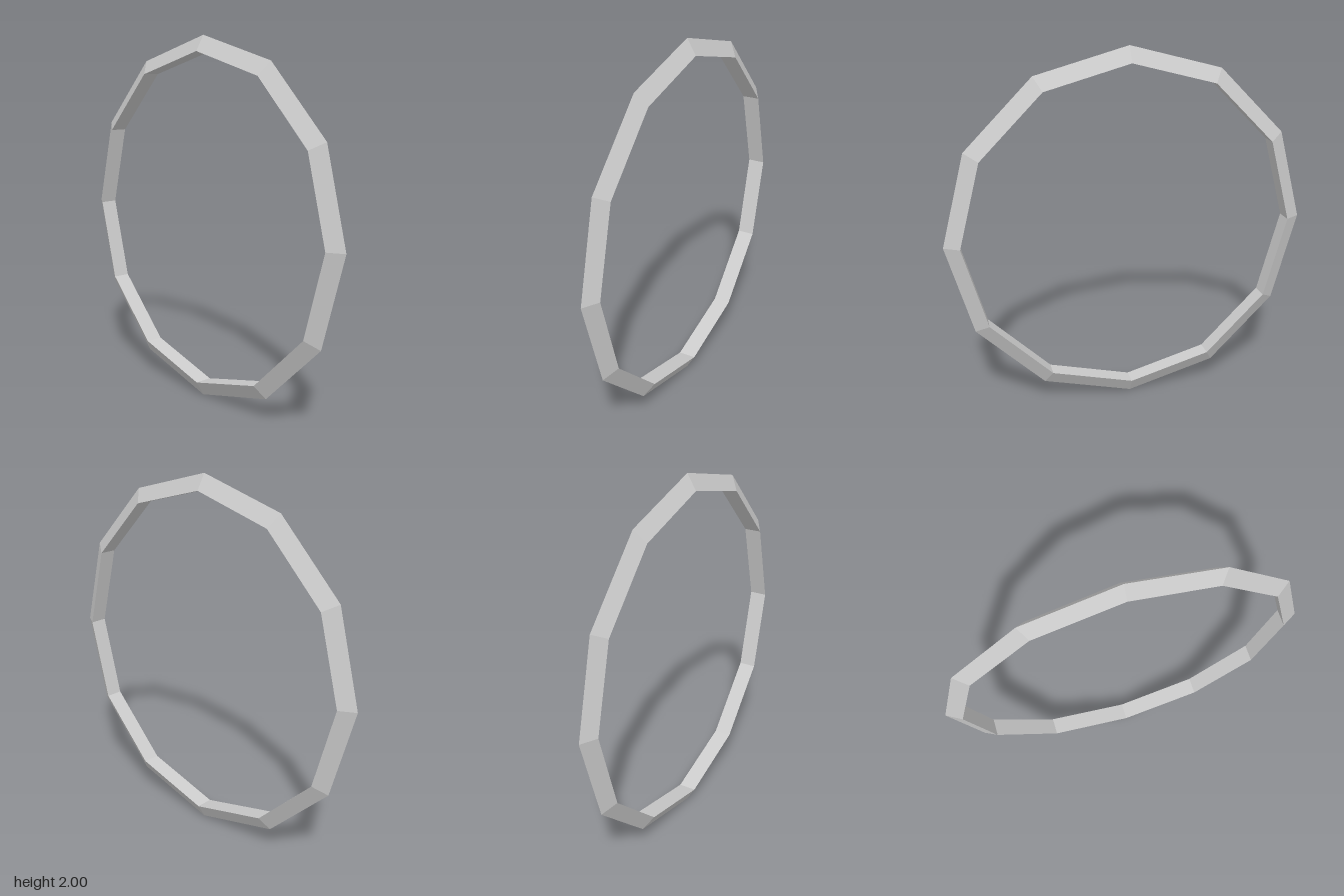
import * as THREE from 'three';

export function createModel() {
  const group = new THREE.Group();
  const material = new THREE.MeshStandardMaterial({ color: 0xcccccc, flatShading: true });

  // Twelve-sided ring with a triangular section, its sharp edge facing outward
  const tube = 0.056;
  const ring = new THREE.Mesh(new THREE.TorusGeometry(1 - tube, tube, 3, 12), material);
  ring.name = 'ring';
  ring.position.y = 1;
  group.add(ring);

  return group;
}
